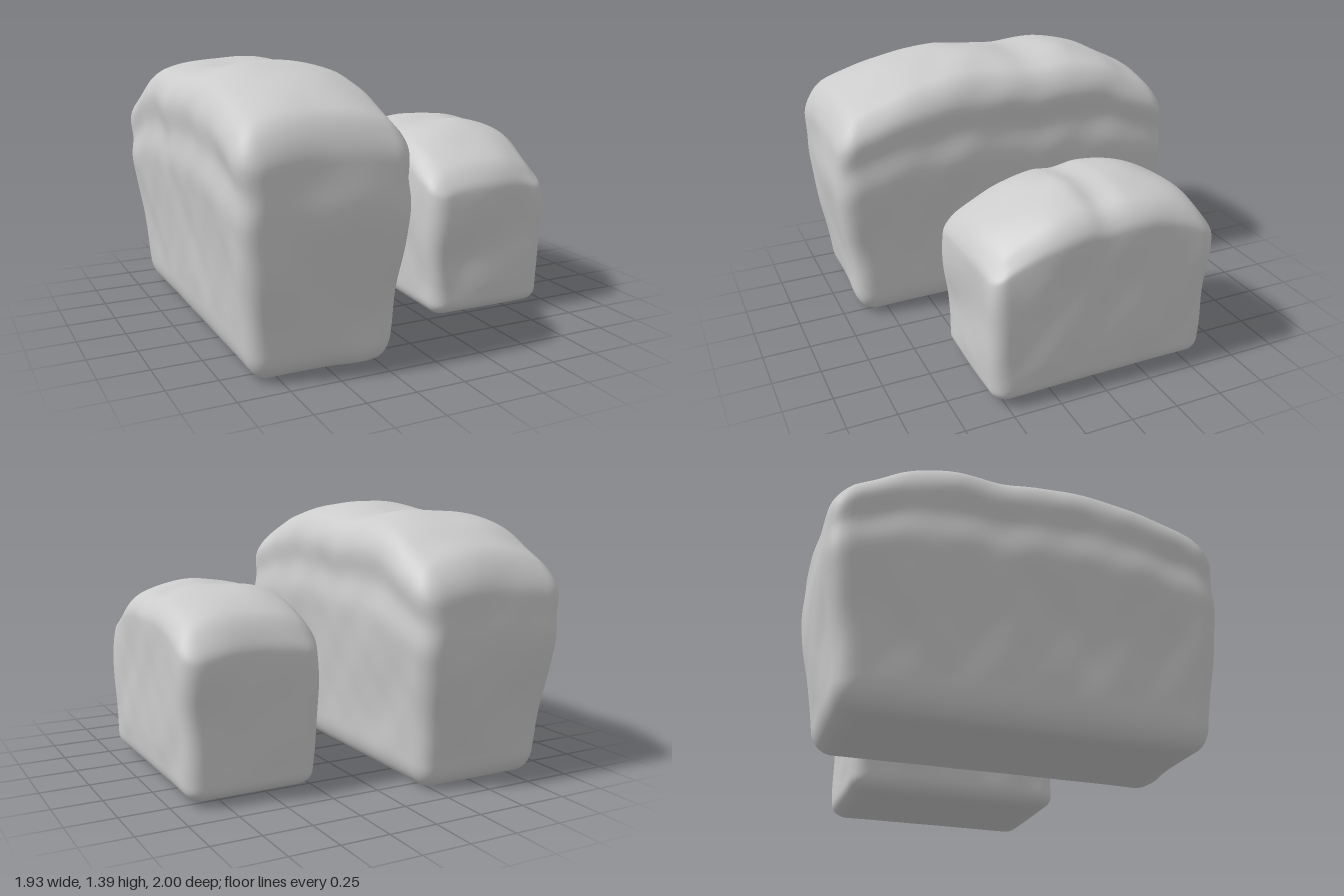
import * as THREE from 'three';
import { mergeVertices } from 'three/addons/utils/BufferGeometryUtils.js';

const { clamp } = THREE.MathUtils;

// Smooth curve through [position, value] points, positions ascending
function profile(pts) {
  const slope = (i) => {
    const a = pts[Math.max(i - 1, 0)], b = pts[Math.min(i + 1, pts.length - 1)];
    return (b[1] - a[1]) / (b[0] - a[0]);
  };
  return (x) => {
    x = clamp(x, pts[0][0], pts[pts.length - 1][0]);
    let i = 0;
    while (i < pts.length - 2 && x > pts[i + 1][0]) i++;
    const [x0, y0] = pts[i], [x1, y1] = pts[i + 1];
    const d = x1 - x0, t = (x - x0) / d, t2 = t * t, t3 = t2 * t;
    return (2 * t3 - 3 * t2 + 1) * y0 + (t3 - 2 * t2 + t) * d * slope(i)
      + (3 * t2 - 2 * t3) * y1 + (t3 - t2) * d * slope(i + 1);
  };
}

// Soft uneven crust
function lumps(x, y, z) {
  return Math.sin(7 * x + 3 * z + 1) * Math.sin(8 * y + 2 * z) * 0.5
    + Math.sin(13 * z + 5 * y) * Math.sin(11 * x - 6 * y + 2) * 0.3
    + Math.sin(21 * z - 9 * x) * Math.sin(17 * y + 8 * x) * 0.15;
}

// Rounded block: walls flare with height, the top follows a dome along z and a crown across x
function loaf({ name, x, z, base, halfX, halfZ, radius, dome, flareX, flareZ, crown, rough, dents }) {
  const size = new THREE.Vector3(halfX, 0.5, halfZ);
  let geo = new THREE.BoxGeometry(2, 2, 2, 34, 40, 60);
  geo.deleteAttribute('uv');
  geo.deleteAttribute('normal');
  geo = mergeVertices(geo);
  const pos = geo.attributes.position;
  const p = new THREE.Vector3(), core = new THREE.Vector3(), n = new THREE.Vector3();
  const inner = size.clone().subScalar(radius);
  for (let i = 0; i < pos.count; i++) {
    // round all edges and corners
    p.fromBufferAttribute(pos, i).multiply(size);
    core.copy(p).clamp(inner.clone().negate(), inner);
    n.copy(p).sub(core).normalize();
    p.copy(core).addScaledVector(n, radius);
    // flare the walls, then stretch to the domed height
    const t = p.y + 0.5, u = p.x / halfX;
    const height = dome(p.z) * (1 - crown * Math.pow(Math.abs(u), 2.6) * t * t);
    p.x *= flareX(t);
    p.z *= flareZ(t);
    p.y = t * height;
    // crust bumps, fading towards the flat base, and local hollows
    p.addScaledVector(n, rough * lumps(p.x + x, p.y, p.z) * clamp(t * 5, 0.1, 1));
    for (const [dx, dy, dz, r, depth] of dents) {
      const q = ((p.x - dx) ** 2 + (p.y - dy) ** 2 + (p.z - dz) ** 2) / (r * r);
      p.addScaledVector(n, -depth * Math.exp(-q));
    }
    pos.setXYZ(i, p.x, Math.max(p.y, 0), p.z);
  }
  geo.computeVertexNormals();
  const mesh = new THREE.Mesh(geo, new THREE.MeshStandardMaterial({ color: 0xcccccc, roughness: 0.9 }));
  mesh.name = name;
  mesh.position.set(x, base, z);
  return mesh;
}

export function createModel() {
  const group = new THREE.Group();
  group.name = 'breadLoaves';

  group.add(loaf({
    name: 'largeLoaf', x: -0.53, z: 0, base: 0, halfX: 0.43, halfZ: 0.995,
    radius: 0.105, crown: 0.07, rough: 0.012,
    dome: profile([[-1, 1.09], [-0.9, 1.17], [-0.8, 1.225], [-0.65, 1.3], [-0.42, 1.36],
      [-0.15, 1.345], [0.05, 1.37], [0.25, 1.38], [0.5, 1.35], [0.72, 1.295], [0.9, 1.22], [1, 1.14]]),
    flareX: profile([[0, 0.83], [0.15, 0.86], [0.35, 0.915], [0.55, 0.975], [0.66, 1], [0.78, 0.965],
      [0.88, 1], [1, 1]]),
    flareZ: profile([[0, 0.905], [0.15, 0.92], [0.35, 0.95], [0.55, 0.985], [0.7, 1], [0.82, 0.995],
      [1, 0.985]]),
    dents: [[-0.05, 1.36, -0.25, 0.12, 0.012], [0.4, 1.25, 0.85, 0.2, 0.03], [0.2, 0.02, 0.9, 0.1, -0.015]],
  }));

  group.add(loaf({
    name: 'smallLoaf', x: 0.595, z: -0.015, base: 0.02, halfX: 0.365, halfZ: 0.605,
    radius: 0.09, crown: 0.1, rough: 0.013,
    dome: profile([[-0.61, 0.79], [-0.5, 0.89], [-0.35, 0.955], [-0.14, 0.99], [0.01, 0.97],
      [0.12, 0.98], [0.27, 0.95], [0.44, 0.875], [0.55, 0.81], [0.61, 0.76]]),
    flareX: profile([[0, 0.93], [0.2, 0.955], [0.45, 0.98], [0.7, 1], [0.85, 1], [1, 0.98]]),
    flareZ: profile([[0, 0.965], [0.2, 0.975], [0.5, 0.985], [0.75, 1], [0.9, 1], [1, 0.98]]),
    dents: [[0.2, 0.95, -0.02, 0.1, 0.02], [0.3, 0.78, 0.5, 0.2, 0.03], [-0.2, 0.3, 0.6, 0.13, 0.02],
      [0.05, 0.97, 0.1, 0.12, -0.012]],
  }));

  return group;
}
